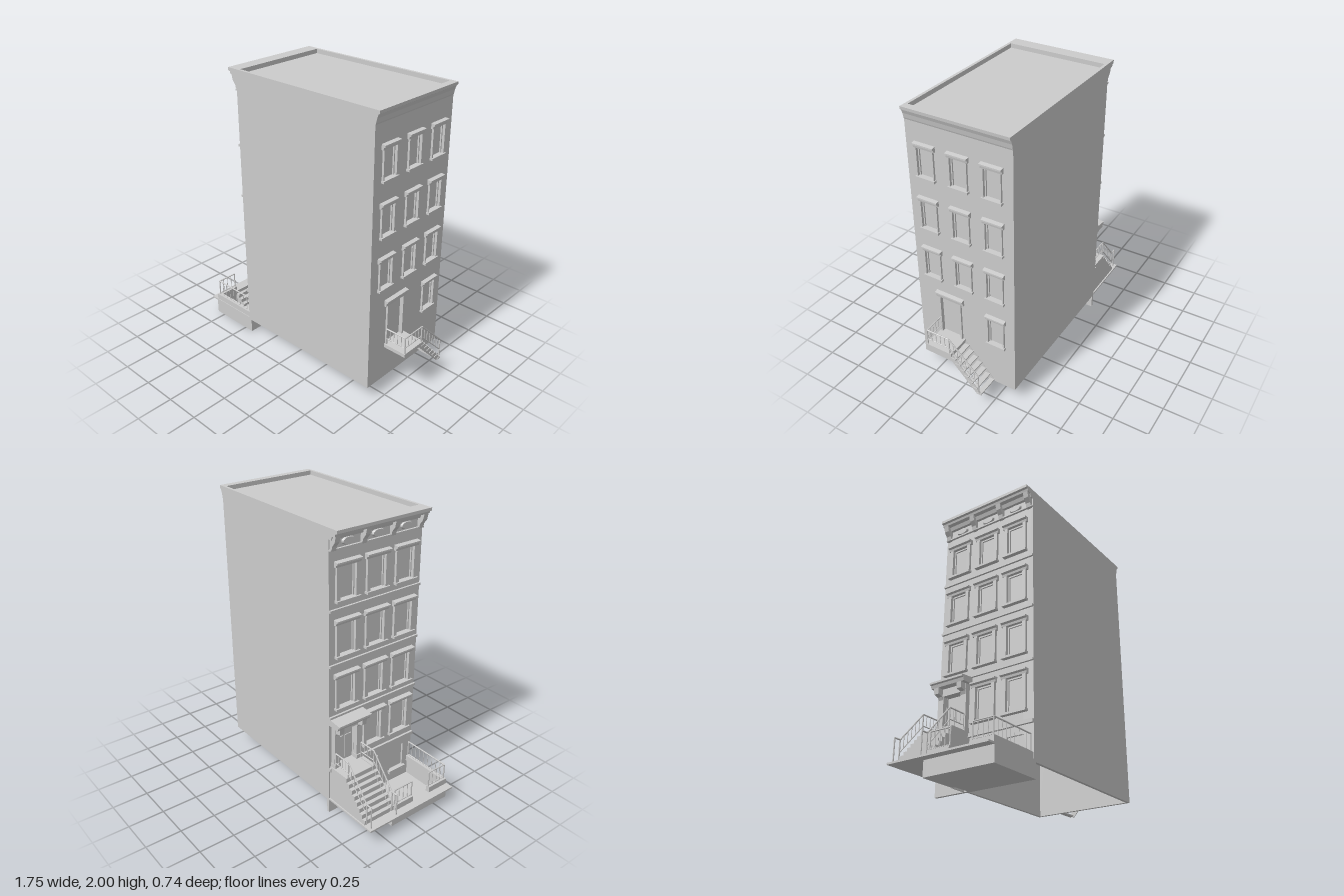
import * as THREE from 'three';

const mat = new THREE.MeshStandardMaterial({ color: 0xcccccc, flatShading: true, side: THREE.DoubleSide });

function add(parent, name, geo) {
  const m = new THREE.Mesh(geo, mat);
  m.name = name;
  parent.add(m);
  return m;
}

// Box given by its limits on each axis
function box(parent, name, x0, x1, y0, y1, z0, z1) {
  const m = add(parent, name, new THREE.BoxGeometry(x1 - x0, y1 - y0, z1 - z0));
  m.position.set((x0 + x1) / 2, (y0 + y1) / 2, (z0 + z1) / 2);
  return m;
}

// Thin round bar between two points
function bar(parent, name, a, b, r = 0.0035) {
  const p = new THREE.Vector3(...a), q = new THREE.Vector3(...b);
  const m = add(parent, name, new THREE.CylinderGeometry(r, r, p.distanceTo(q), 6));
  m.position.copy(p).lerp(q, 0.5);
  m.quaternion.setFromUnitVectors(new THREE.Vector3(0, 1, 0), q.sub(p).normalize());
}

// Straight railing: top rail, bottom rail and balusters; a and b are top ends, h is height
function railing(parent, a, b, h, n, low = h) {
  const down = (p, d) => [p[0], p[1] - d, p[2]];
  bar(parent, 'handrail', a, b, 0.005);
  if (low < h) bar(parent, 'lowerRail', down(a, low), down(b, low));
  for (let i = 0; i <= n; i++) {
    const p = a.map((v, k) => v + (b[k] - v) * i / n);
    const end = i === 0 || i === n;
    bar(parent, end ? 'post' : 'baluster', p, down(p, end ? h : low), end ? 0.005 : 0.0025);
  }
}

function polygon(pts) {
  return new THREE.Shape(pts.map(p => new THREE.Vector2(...p)));
}

// Profile in (outward, up), run along the wall from u0 to u1 in facade space
function moulding(parent, name, pts, u0, u1) {
  const geo = new THREE.ExtrudeGeometry(polygon(pts), { depth: u1 - u0, bevelEnabled: false });
  geo.rotateY(-Math.PI / 2).translate(u1, 0, 0);
  return add(parent, name, geo);
}

// Wall with rectangular openings; facade space is u right, v up, w outward
function wall(parent, bottom, openings) {
  const s = polygon([[-0.37, bottom], [0.37, bottom], [0.37, 2], [-0.37, 2]]);
  for (const [u, w, v0, v1] of openings) {
    s.holes.push(polygon([[u - w, v0], [u - w, v1], [u + w, v1], [u + w, v0]]));
    box(parent, 'pane', u - w, u + w, v0, v1, -0.019, -0.014);
  }
  const geo = new THREE.ExtrudeGeometry(s, { depth: 0.02, bevelEnabled: false });
  add(parent, 'facadeWall', geo.translate(0, 0, -0.02));
}

// Trim round a window opening: jambs, sash, sill and moulded hood
function windowTrim(parent, u, w, v0, v1, t, depth) {
  const g = new THREE.Group();
  g.name = 'window';
  parent.add(g);
  for (const s of [-1, 1]) {
    const a = u + s * w, b = u + s * (w + t), c = u + s * (w - 0.008);
    box(g, 'jamb', Math.min(a, b), Math.max(a, b), v0, v1, 0, depth * 0.5);
    box(g, 'sash', Math.min(a, c), Math.max(a, c), v0, v1, -0.014, -0.004);
  }
  box(g, 'sashHead', u - w, u + w, v1 - 0.01, v1, -0.014, -0.004);
  box(g, 'sill', u - w - t - 0.006, u + w + t + 0.006, v0 - 0.015, v0, 0, depth * 0.85);
  moulding(g, 'hood', [[0, v1], [depth * 0.5, v1], [depth * 0.6, v1 + 0.015], [depth, v1 + 0.022],
    [depth, v1 + 0.032], [0, v1 + 0.036]], u - w - t - 0.01, u + w + t + 0.01);
}

function streetFacade(root) {
  const f = new THREE.Group();
  f.name = 'streetFacade';
  f.rotation.y = -Math.PI / 2;
  f.position.x = -0.45;
  root.add(f);
  const wins = [], low = [];
  for (const u of [-0.235, 0, 0.235]) {
    for (const v of [1.545, 1.175, 0.805]) wins.push([u, 0.062, v, v + 0.21]);
    if (u > -0.1) {
      wins.push([u, 0.062, 0.43, 0.655]);
      low.push([u, 0.06, 0.1, 0.28]);
    }
  }
  wall(f, 0, [...wins, ...low, [-0.235, 0.07, 0.37, 0.64]]);
  wins.forEach(o => windowTrim(f, ...o, 0.025, 0.035));
  // Basement windows with bracketed sills
  for (const [u] of low) {
    box(f, 'basementSill', u - 0.075, u + 0.075, 0.088, 0.1, 0, 0.02);
    for (const s of [-1, 1]) box(f, 'sillBracket', u + s * 0.06 - 0.012, u + s * 0.06 + 0.012, 0.074, 0.088, -0.021, 0.015);
  }
  // String courses
  for (const v of [0.735, 1.105, 1.475]) box(f, 'stringCourse', -0.37, 0.37, v, v + 0.016, 0, 0.014);
  box(f, 'baseCourse', -0.37, 0.37, 0.335, 0.36, 0, 0.016);
  // Entrance: panelled door, pilasters, brackets, hood
  for (const u of [-0.268, -0.202]) box(f, 'doorPanel', u - 0.026, u + 0.026, 0.385, 0.56, -0.014, -0.008);
  for (const u of [-0.328, -0.142]) {
    box(f, 'pilaster', u - 0.022, u + 0.022, 0.37, 0.65, 0, 0.035);
    box(f, 'pilasterBase', u - 0.026, u + 0.026, 0.37, 0.4, 0, 0.042);
    moulding(f, 'doorBracket', [[0, 0.6], [0.035, 0.62], [0.045, 0.64], [0.08, 0.65], [0.085, 0.69], [0, 0.69]], u - 0.018, u + 0.018);
  }
  box(f, 'doorFrieze', -0.35, -0.12, 0.64, 0.69, 0, 0.04);
  moulding(f, 'doorHood', [[0, 0.69], [0.085, 0.69], [0.092, 0.71], [0.105, 0.715], [0.105, 0.728], [0, 0.738]], -0.368, -0.1);
  // Cornice with brackets and oval plaques
  moulding(f, 'cornice', [[0, 1.93], [0.02, 1.93], [0.03, 1.955], [0.055, 1.96], [0.06, 1.975], [0.075, 1.98], [0.075, 2], [0, 2]], -0.37, 0.37);
  box(f, 'corniceFrieze', -0.37, 0.37, 1.86, 1.87, 0, 0.015);
  for (let i = 0; i < 4; i++) {
    const u = -0.345 + i * 0.23;
    moulding(f, 'corniceBracket', [[0, 1.855], [0.015, 1.86], [0.022, 1.89], [0.045, 1.92], [0.055, 1.96], [0, 1.96]], u - 0.018, u + 0.018);
    if (i < 3) {
      const o = add(f, 'plaque', new THREE.CylinderGeometry(0.022, 0.026, 0.012, 16).rotateX(Math.PI / 2));
      o.scale.x = 1.9;
      o.position.set(u + 0.115, 1.9, 0.006);
    }
  }
}

function rearFacade(root) {
  const f = new THREE.Group();
  f.name = 'rearFacade';
  f.rotation.y = Math.PI / 2;
  f.position.x = 0.7;
  root.add(f);
  const wins = [[0.232, 0.056, 0.447, 0.638]];
  for (const u of [-0.235, 0, 0.232]) for (const v of [1.558, 1.188, 0.818]) wins.push([u, 0.056, v, v + 0.19]);
  wall(f, 0.1, [...wins, [-0.12, 0.075, 0.37, 0.665]]);
  wins.forEach(o => windowTrim(f, ...o, 0.008, 0.028));
  for (const u of [-0.2, -0.04]) box(f, 'doorJamb', u - 0.006, u + 0.006, 0.37, 0.67, 0, 0.014);
  moulding(f, 'doorHood', [[0, 0.665], [0.014, 0.665], [0.018, 0.69], [0.028, 0.695], [0.028, 0.705], [0, 0.71]], -0.225, -0.012);
  moulding(f, 'cornice', [[0, 1.91], [0.004, 1.92], [0.01, 1.95], [0.02, 1.975], [0.028, 1.98], [0.03, 2], [0, 2]], -0.37, 0.37);
}

// Rear landing, open stair and railing
function rearStair(root) {
  const g = new THREE.Group();
  g.name = 'rearStair';
  root.add(g);
  box(g, 'landing', 0.7, 0.87, 0.345, 0.37, 0.015, 0.215);
  const n = 7, dz = 0.032, dy = 0.036;
  for (let i = 1; i <= n; i++) {
    const y = 0.37 - i * dy, z = 0.015 - i * dz;
    box(g, 'tread', 0.7, 0.865, y - 0.009, y, z, z + dz + 0.004);
  }
  const s = polygon([[0.06, 0.345], [-0.17, 0.105], [-0.205, 0.105], [-0.205, 0.118], [0.015, 0.36]]);
  for (const x of [0.705, 0.86]) {
    const m = add(g, 'stringer', new THREE.ExtrudeGeometry(s, { depth: 0.006, bevelEnabled: false }).rotateY(-Math.PI / 2));
    m.position.x = x;
  }
  railing(g, [0.862, 0.487, 0.205], [0.862, 0.487, 0.03], 0.117, 5, 0.075);
  railing(g, [0.71, 0.487, 0.205], [0.862, 0.487, 0.205], 0.117, 5, 0.075);
  railing(g, [0.862, 0.487, 0.03], [0.862, 0.27, -0.19], 0.15, 7, 0.08);
}

// Street stoop with solid steps, side arch and railings
function stoop(root) {
  const g = new THREE.Group();
  g.name = 'stoop';
  root.add(g);
  const n = 8, dx = 0.0265, dy = 0.0318;
  const steps = [];
  for (let i = 0; i < n; i++) {
    const x = -0.62 - i * dx, y = 0.37 - i * dy;
    steps.push([x, y], [x, y - dy]);
  }
  const body = polygon([[-0.45, 0.105], [-0.45, 0.37], ...steps]);
  add(g, 'steps', new THREE.ExtrudeGeometry(body, { depth: 0.22, bevelEnabled: false }).translate(0, 0, -0.36));
  const side = polygon([[-0.45, 0.25], [-0.45, 0.37], ...steps, [-0.82, 0.115], [-0.82, 0], [-0.565, 0], [-0.565, 0.15]]);
  side.quadraticCurveTo(-0.56, 0.25, -0.45, 0.25);
  add(g, 'archedSide', new THREE.ExtrudeGeometry(side, { depth: 0.025, bevelEnabled: false }).translate(0, 0, -0.135));
  box(g, 'underDoor', -0.565, -0.45, 0, 0.25, -0.142, -0.136);
  for (const z of [-0.345, -0.13]) {
    railing(g, [-0.49, 0.487, z], [-0.62, 0.487, z], 0.117, 4, 0.075);
    railing(g, [-0.62, 0.487, z], [-0.805, 0.27, z], 0.117, 6, 0.08);
    railing(g, [-0.805, 0.27, z], [-0.85, 0.27, z], 0.155, 1);
  }
}

// Sunken yard, paving, curb and fence
function areaway(root) {
  const g = new THREE.Group();
  g.name = 'areaway';
  root.add(g);
  box(g, 'paving', -0.875, -0.82, 0.103, 0.115, -0.37, 0.37);
  box(g, 'stoopPaving', -0.82, -0.45, 0.103, 0.115, -0.37, -0.135);
  box(g, 'yardFloor', -0.82, -0.45, 0, 0.008, -0.11, 0.37);
  box(g, 'frontRetainingWall', -0.82, -0.795, 0, 0.115, -0.11, 0.37);
  box(g, 'sideRetainingWall', -0.795, -0.45, 0, 0.115, 0.345, 0.37);
  for (let i = 0; i < 3; i++) box(g, 'yardStep', -0.795, -0.71 - i * 0.03, 0.008, 0.03 + i * 0.03, 0.05, 0.2);
  box(g, 'curb', -0.82, -0.79, 0.115, 0.157, -0.11, 0.05);
  box(g, 'curb', -0.82, -0.79, 0.115, 0.157, 0.2, 0.365);
  box(g, 'curb', -0.79, -0.45, 0.115, 0.157, 0.335, 0.365);
  railing(g, [-0.805, 0.27, -0.105], [-0.805, 0.27, 0.045], 0.113, 4, 0.105);
  railing(g, [-0.805, 0.27, 0.205], [-0.805, 0.27, 0.35], 0.113, 4, 0.105);
  railing(g, [-0.805, 0.27, 0.35], [-0.455, 0.27, 0.35], 0.113, 9, 0.105);
}

export function createModel() {
  const root = new THREE.Group();
  root.name = 'townhouse';
  // Party walls and sunk roof; the shell is open underneath
  for (const s of [-1, 1]) box(root, 'partyWall', -0.43, 0.68, 0.1, 2, s * 0.36 - 0.01, s * 0.36 + 0.01);
  box(root, 'roof', -0.43, 0.68, 1.955, 1.97, -0.35, 0.35);
  streetFacade(root);
  rearFacade(root);
  rearStair(root);
  stoop(root);
  areaway(root);
  return root;
}
